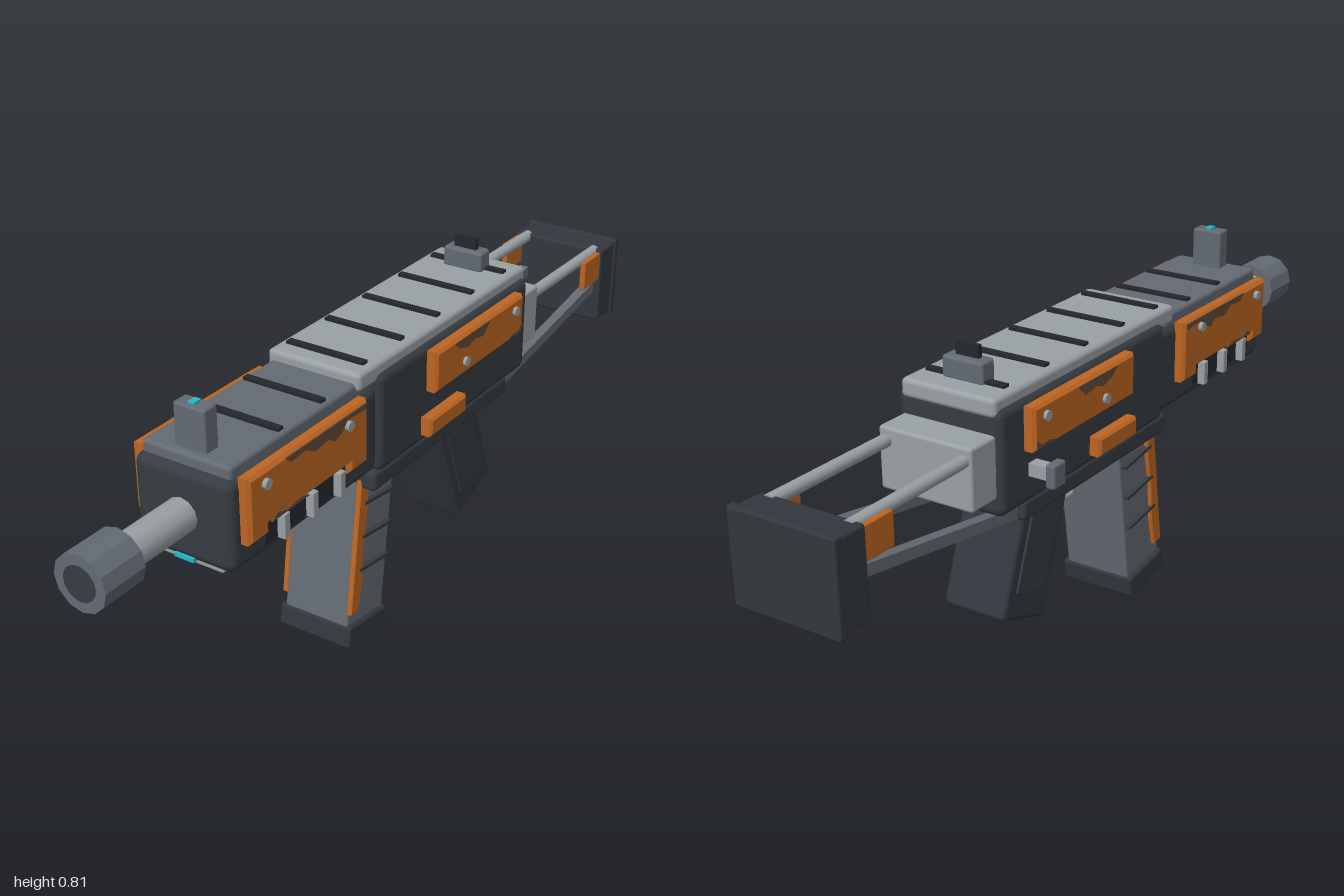
import * as THREE from 'three';
import { RoundedBoxGeometry } from 'three/addons/geometries/RoundedBoxGeometry.js';

const paint = (name, color) => {
  const m = new THREE.MeshStandardMaterial({ color });
  m.name = name;
  return m;
};

export function createModel() {
  const dark = paint('dark body', 0x363c42);
  const rubber = paint('rubber', 0x33383e);
  const mid = paint('mid grey metal', 0x646b73);
  const light = paint('light grey metal', 0x9aa1a4);
  const orange = paint('orange paint', 0xbf6622);
  const worn = paint('worn paint', 0x624a38);
  const slot = paint('slot black', 0x24282c);
  const cyan = paint('cyan glow', 0x22bccb);

  const root = new THREE.Group();
  root.name = 'toyBlaster';
  const body = new THREE.Group();
  body.name = 'body';
  body.position.x = 0.017;
  root.add(body);

  const add = (name, geo, mat, pos = [0, 0, 0], parent = body) => {
    const m = new THREE.Mesh(geo, mat);
    m.name = name;
    m.position.set(...pos);
    parent.add(m);
    return m;
  };
  // Box from x half-width, y range and z range; r rounds the edges
  const box = (name, mat, [x0, x1], [y0, y1], [z0, z1], r = 0, parent = body) => {
    const s = [x1 - x0, y1 - y0, z1 - z0];
    const geo = r ? new RoundedBoxGeometry(...s, 2, r) : new THREE.BoxGeometry(...s);
    return add(name, geo, mat, [(x0 + x1) / 2, (y0 + y1) / 2, (z0 + z1) / 2], parent);
  };
  const mid2 = (w) => [-w, w];
  // Flat plate drawn in (z, y), extruded along x and centred on x
  const plate = (name, mat, pts, x, depth, bevel = 0, parent = body) => {
    const geo = new THREE.ExtrudeGeometry(
      new THREE.Shape(pts.map(([z, y]) => new THREE.Vector2(z, y))),
      { depth: depth - 2 * bevel, bevelEnabled: bevel > 0, bevelSize: bevel,
        bevelThickness: bevel, bevelOffset: -bevel, bevelSegments: 1 });
    geo.translate(0, 0, -(depth - 2 * bevel) / 2).rotateY(-Math.PI / 2);
    return add(name, geo, mat, [x, 0, 0], parent);
  };
  const rod = (name, mat, r, z0, z1, x, y, sides = 12) =>
    add(name, new THREE.CylinderGeometry(r, r, z1 - z0, sides).rotateX(Math.PI / 2),
      mat, [x, y, (z0 + z1) / 2]);

  // Receiver, handguard and covers
  box('receiver', dark, mid2(0.135), [0.465, 0.71], [-0.485, 0.185], 0.022);
  box('lowerReceiver', dark, mid2(0.132), [0.425, 0.475], [-0.4, 0.2], 0.012);
  box('handguard', dark, mid2(0.124), [0.472, 0.685], [0.17, 0.7], 0.024);
  box('handguardBottom', light, mid2(0.083), [0.457, 0.476], [0.2, 0.68], 0.004);
  box('handguardTop', mid, mid2(0.112), [0.67, 0.711], [0.22, 0.68], 0.01);
  box('topCover', light, mid2(0.122), [0.69, 0.735], [-0.487, 0.245], 0.012);
  box('rearBlock', light, mid2(0.12), [0.51, 0.655], [-0.567, -0.47], 0.008);
  for (const z of [0.5, 0.35])
    box('handguardSlot', slot, mid2(0.102), [0.705, 0.718], [z - 0.009, z + 0.009]);
  for (const z of [0.192, 0.043, -0.11, -0.265, -0.415])
    box('coverSlot', slot, mid2(0.102), [0.73, 0.742], [z - 0.009, z + 0.009]);
  box('frontLight', cyan, mid2(0.025), [0.474, 0.484], [0.66, 0.702]);

  // Barrel and muzzle
  rod('barrel', light, 0.04, 0.66, 0.9, 0, 0.58, 12);
  const muzzle = rod('muzzle', mid, 0.065, 0.885, 0.998, 0, 0.58, 12);
  muzzle.geometry = muzzle.geometry.toNonIndexed();
  muzzle.geometry.computeVertexNormals();
  rod('bore', dark, 0.04, 0.98, 1, 0, 0.58, 16);

  // Sights
  box('frontSight', mid, mid2(0.04), [0.69, 0.807], [0.62, 0.662], 0.006);
  box('frontSightLight', cyan, mid2(0.008), [0.8, 0.812], [0.63, 0.652]);
  box('rearSight', mid, mid2(0.053), [0.73, 0.783], [-0.432, -0.385], 0.008);
  box('rearSightBlade', slot, mid2(0.03), [0.775, 0.812], [-0.412, -0.4]);

  // Stock
  box('butt', rubber, mid2(0.13), [0.43, 0.635], [-0.985, -0.905], 0.008);
  box('buttPad', rubber, mid2(0.135), [0.424, 0.641], [-1, -0.978], 0.006);

  // Details repeated on both sides
  for (const s of [-1, 1]) {
    rod('stockRail', light, 0.015, -0.92, -0.53, s * 0.1, 0.625);
    const strut = add('stockStrut', new THREE.BoxGeometry(0.025, 0.027, 0.545), mid,
      [s * 0.1, 0.486, -0.66]);
    strut.rotation.x = 0.163;
    box('stockPlate', orange, [s * 0.118 - 0.008, s * 0.118 + 0.008],
      [0.55, 0.628], [-0.91, -0.82], 0.004);

    // Notched handguard panel with vents
    plate('handguardPanel', orange, [[0.25, 0.537], [0.32, 0.537], [0.32, 0.56], [0.605, 0.56],
      [0.605, 0.537], [0.67, 0.537], [0.67, 0.69], [0.25, 0.69]], s * 0.132, 0.034, 0.008);
    plate('handguardWear', worn, [[0.55, 0.684], [0.53, 0.668], [0.48, 0.672], [0.45, 0.654],
      [0.4, 0.66], [0.38, 0.645], [0.35, 0.655], [0.33, 0.675], [0.26, 0.67], [0.26, 0.684]],
      s * 0.148, 0.005);
    plate('handguardWear', worn, [[0.6, 0.562], [0.58, 0.575], [0.55, 0.566], [0.5, 0.572],
      [0.47, 0.562]], s * 0.148, 0.005);
    box('vent', slot, [s * 0.124 - 0.012, s * 0.124 + 0.012], [0.505, 0.565], [0.32, 0.605]);
    for (const z of [0.555, 0.455, 0.355])
      box('ventRib', light, [s * 0.141 - 0.014, s * 0.141 + 0.014], [0.502, 0.562],
        [z - 0.01, z + 0.01], 0.003);

    // Receiver panels
    plate('receiverPanel', orange, [[-0.405, 0.597], [-0.005, 0.597], [-0.005, 0.699],
      [-0.405, 0.699]], s * 0.148, 0.034, 0.007);
    plate('receiverWear', worn, [[-0.08, 0.692], [-0.1, 0.675], [-0.14, 0.662], [-0.17, 0.672],
      [-0.21, 0.664], [-0.24, 0.692]], s * 0.164, 0.005);
    plate('receiverWear', worn, [[-0.33, 0.604], [-0.35, 0.612], [-0.38, 0.61], [-0.398, 0.625],
      [-0.398, 0.604]], s * 0.164, 0.005);
    plate('lowerPanel', orange, [[-0.147, 0.491], [0.012, 0.491], [0.012, 0.537],
      [-0.147, 0.537]], s * 0.145, 0.036, 0.006);

    // Bolts
    for (const [z, y, x] of [[0.617, 0.66, 0.15], [0.328, 0.66, 0.15],
      [-0.13, 0.63, 0.164], [-0.362, 0.67, 0.164]])
      add('bolt', new THREE.CylinderGeometry(0.012, 0.012, 0.018, 8).rotateZ(Math.PI / 2),
        light, [s * x, y, z]);
  }

  // Charging handle on the right side only
  box('chargingShaft', light, [-0.18, -0.12], [0.532, 0.562], [-0.387, -0.357]);
  box('chargingKnob', mid, [-0.207, -0.183], [0.518, 0.574], [-0.397, -0.35], 0.006);

  // Magazine, pivoting at its top
  const mag = new THREE.Group();
  mag.name = 'magazine';
  mag.position.set(0, 0.435, 0.125);
  mag.rotation.x = -0.134;
  body.add(mag);
  box('magazineBody', mid, mid2(0.088), [-0.38, 0.03], [-0.075, 0.075], 0.006, mag);
  box('magazineBase', rubber, mid2(0.1), [-0.428, -0.372], [-0.08, 0.08], 0.008, mag);
  for (const s of [-1, 1]) {
    plate('magazineStrip', orange, [[0.076, 0.015], [0.045, 0.015], [0.04, -0.08], [0.045, -0.18],
      [0.038, -0.26], [0.045, -0.34], [0.076, -0.34]], s * 0.091, 0.014, 0.002, mag);
    for (const y of [-0.06, -0.145, -0.23])
      box('magazineRib', dark, [s * 0.091 - 0.009, s * 0.091 + 0.009], [y - 0.004, y + 0.004],
        [-0.065, 0.055], 0, mag);
  }

  // Rear grip
  const grip = new THREE.Group();
  grip.name = 'grip';
  grip.position.set(0, 0.435, -0.232);
  grip.rotation.x = 0.358;
  body.add(grip);
  box('gripBody', rubber, mid2(0.083), [-0.31, 0.03], [-0.086, 0.086], 0.012, grip);
  for (const s of [-1, 1])
    box('gripPanel', dark, [s * 0.083 - 0.005, s * 0.083 + 0.005], [-0.245, -0.025],
      [-0.055, 0.055], 0.003, grip);

  // Trigger and guard
  const path = (pts) => {
    const c = new THREE.CurvePath();
    const v = pts.map(([z, y]) => new THREE.Vector3(0, y, z));
    for (let i = 1; i < v.length; i++) c.add(new THREE.LineCurve3(v[i - 1], v[i]));
    return c;
  };
  add('triggerGuard', new THREE.TubeGeometry(
    path([[0.015, 0.44], [-0.025, 0.315], [-0.18, 0.315]]), 24, 0.01, 8), light);
  add('trigger', new THREE.TubeGeometry(
    path([[-0.11, 0.44], [-0.108, 0.39], [-0.09, 0.34]]), 12, 0.011, 8), light);

  return root;
}
